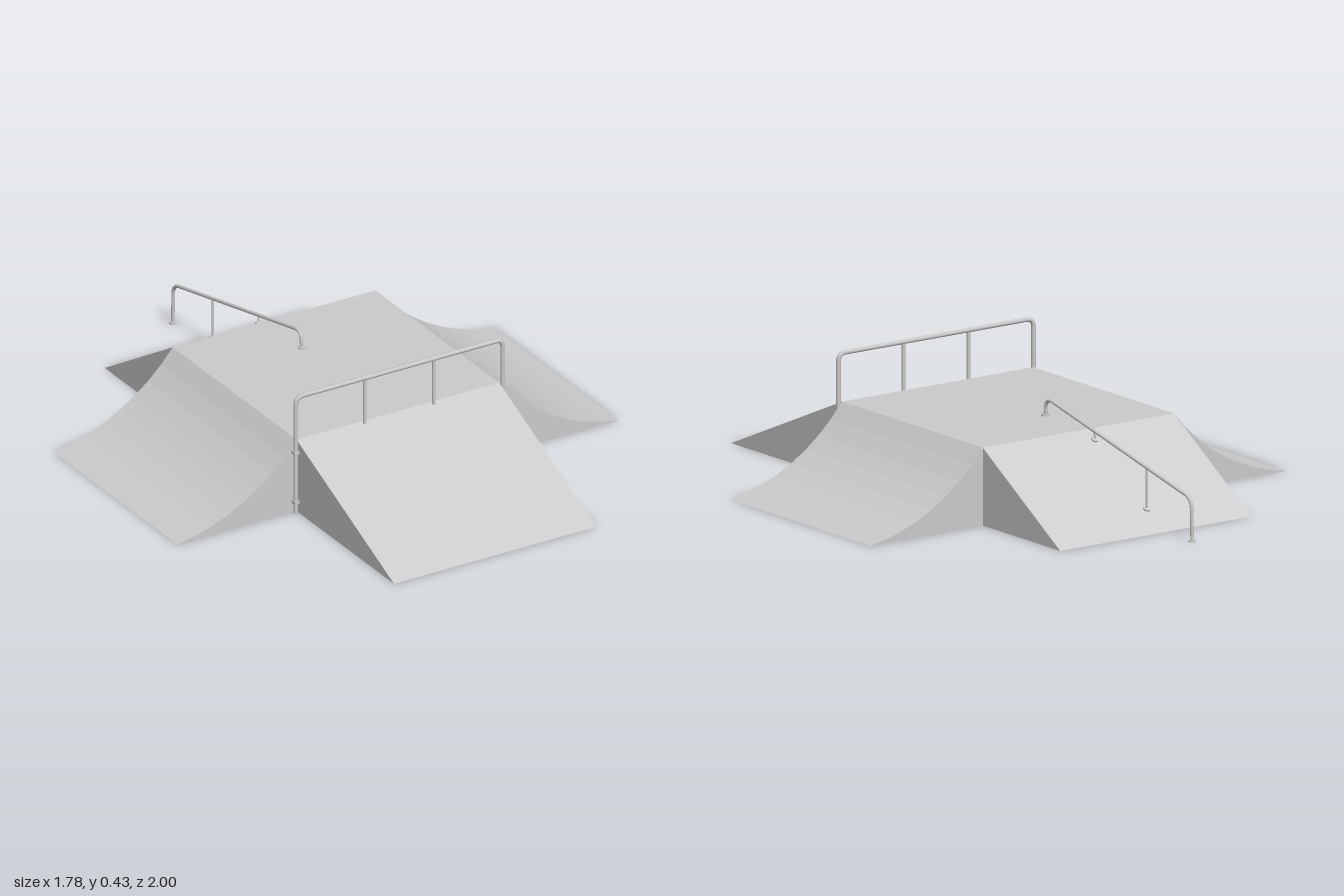
import * as THREE from 'three';

const H = 0.26; // deck height
const X0 = -0.392, X1 = 0.378, Z0 = -0.427, Z1 = 0.338; // deck edges
const mat = new THREE.MeshStandardMaterial({ color: 0xcccccc, flatShading: true });
const smooth = new THREE.MeshStandardMaterial({ color: 0xcccccc });

function add(parent, name, geo, x, y, z, m = mat) {
  const mesh = new THREE.Mesh(geo, m);
  mesh.name = name;
  mesh.position.set(x, y, z);
  parent.add(mesh);
  return mesh;
}

// Ramp running outward along +x; a curved one is a concave transition
function rampGeo(length, width, curved) {
  const s = new THREE.Shape();
  s.moveTo(0, 0);
  s.lineTo(length, 0);
  if (curved) s.quadraticCurveTo(length * 0.39, H * 0.165, 0, H);
  else s.lineTo(0, H);
  s.closePath();
  return new THREE.ExtrudeGeometry(s, { depth: width, bevelEnabled: false, curveSegments: 8 })
    .translate(0, 0, -width / 2);
}

// Bent pipe through [x, y, z] points with rounded corners
function pipe(points, radius, bend) {
  const p = points.map((a) => new THREE.Vector3(...a));
  const path = new THREE.CurvePath();
  let from = p[0];
  for (let i = 1; i < p.length - 1; i++) {
    const a = p[i].clone().add(p[i - 1].clone().sub(p[i]).setLength(bend));
    const b = p[i].clone().add(p[i + 1].clone().sub(p[i]).setLength(bend));
    path.add(new THREE.LineCurve3(from, a));
    path.add(new THREE.QuadraticBezierCurve3(a, p[i], b));
    from = b;
  }
  path.add(new THREE.LineCurve3(from, p[p.length - 1]));
  return new THREE.TubeGeometry(path, 160, radius, 8);
}

function post(parent, name, x, yBottom, yTop, z, r) {
  add(parent, name, new THREE.CylinderGeometry(r, r, yTop - yBottom, 8), x, (yBottom + yTop) / 2, z, smooth);
}

export function createModel() {
  const group = new THREE.Group();
  group.name = 'skateRamp';
  const park = new THREE.Group();
  park.name = 'funbox';
  park.rotation.y = -THREE.MathUtils.degToRad(10);
  group.add(park);

  const W = X1 - X0, D = Z1 - Z0, cx = (X0 + X1) / 2, cz = (Z0 + Z1) / 2;
  add(park, 'deck', new THREE.BoxGeometry(W, H, D), cx, H / 2, cz);

  // Curved ramps on the sides, straight ones front and back
  add(park, 'leftCurvedRamp', rampGeo(0.452, D, true), X1, 0, cz);
  add(park, 'rightCurvedRamp', rampGeo(0.452, D, true), X0, 0, cz).rotation.y = Math.PI;
  add(park, 'frontRamp', rampGeo(0.603, W, false), cx, 0, Z1).rotation.y = -Math.PI / 2;
  add(park, 'backRamp', rampGeo(0.421, W, false), cx, 0, Z0).rotation.y = Math.PI / 2;

  // Guard rail along the front deck edge; its end posts reach the ground
  const guard = new THREE.Group();
  guard.name = 'guardRail';
  park.add(guard);
  const gz = Z1 + 0.009, gl = X0 - 0.008, gr = X1 + 0.008, top = 0.42;
  add(guard, 'guardFrame', pipe([[gl, 0, gz], [gl, top, gz], [gr, top, gz], [gr, 0, gz]], 0.008, 0.028), 0, 0, 0, smooth);
  for (const t of [1 / 3, 2 / 3]) post(guard, 'guardPost', gl + (gr - gl) * t, H - 0.02, top, gz, 0.006);
  for (const x of [gl, gr]) for (const y of [0.04, 0.22]) {
    add(guard, 'bracket', new THREE.BoxGeometry(0.02, 0.01, 0.02), x, y, gz);
  }

  // Grind rail sloping down over the back ramp
  const grind = new THREE.Group();
  grind.name = 'grindRail';
  park.add(grind);
  const gx = -0.039;
  add(grind, 'grindBar', pipe([[gx, H, -0.204], [gx, 0.322, -0.21], [gx, 0.143, -0.998], [gx, 0, -1.002]], 0.006, 0.035), 0, 0, 0, smooth);
  const railY = (z) => 0.322 + (z + 0.21) * (0.179 / 0.788);
  const rampY = (z) => H * (1 - (Z0 - z) / 0.421);
  for (const z of [-0.472, -0.755]) post(grind, 'grindPost', gx, rampY(z), railY(z), z, 0.004);
  const feet = [[H, -0.204, 0], [rampY(-0.472), -0.472, 1], [rampY(-0.755), -0.755, 1], [0, -1.002, 0]];
  for (const [y, z, sloped] of feet) {
    const foot = add(grind, 'railFoot', new THREE.CylinderGeometry(0.012, 0.012, 0.006, 12), gx, y + 0.003, z);
    if (sloped) foot.rotation.x = -Math.atan(H / 0.421);
  }
  return group;
}
